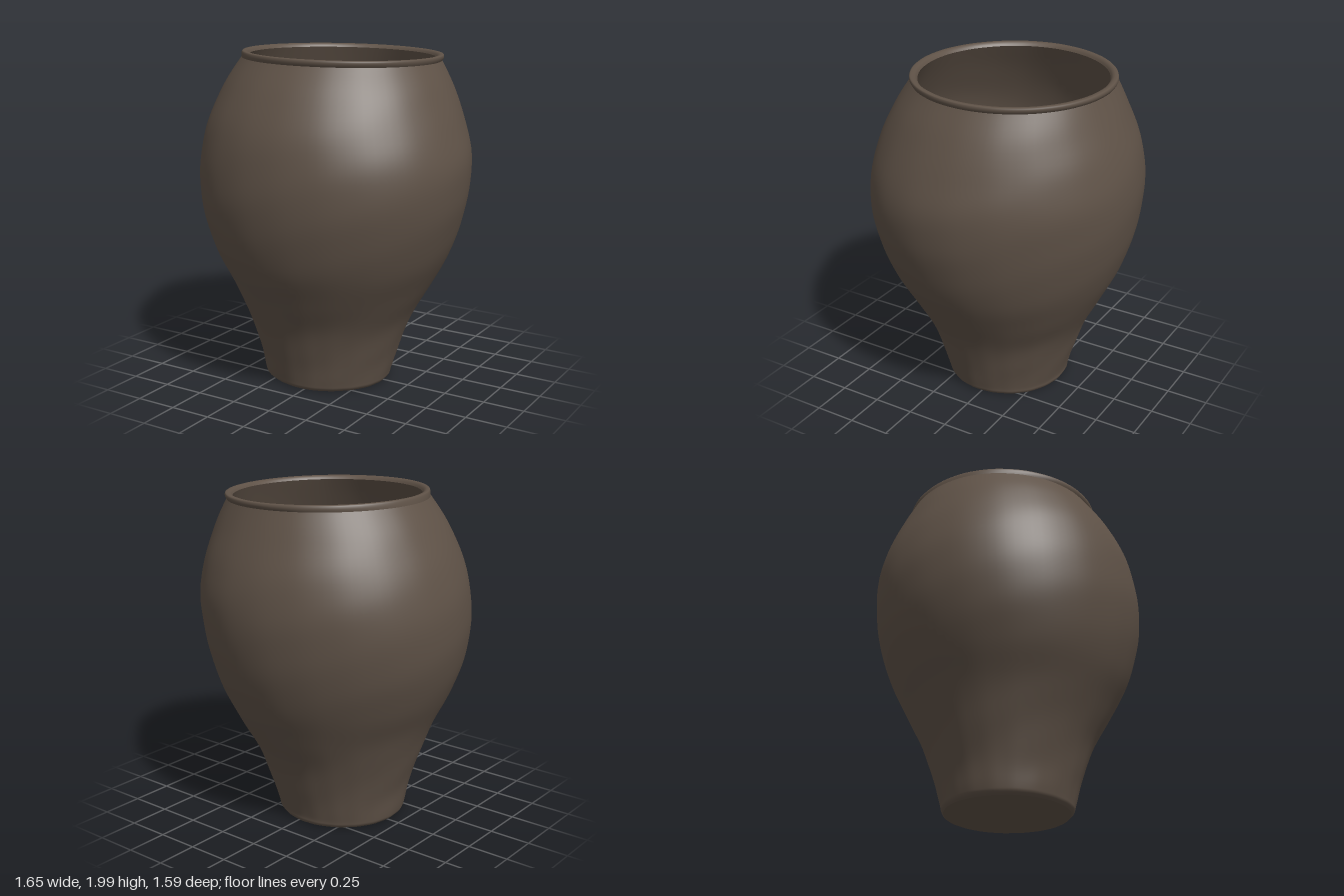
import * as THREE from 'three';

const SEGMENTS = 96;

// Cross-section rows: [y, xMin, xMax, zMin, zMax]
const BASE = [
  [0.014, -0.06, -0.02, 0.0, 0.04],
  [0.012, -0.25, 0.18, -0.19, 0.22],
  [0.004, -0.415, 0.332, -0.34, 0.38],
];
const WALL = [
  [0.004, -0.415, 0.332, -0.34, 0.38],
  [0.022, -0.434, 0.347, -0.35, 0.398],
  [0.06, -0.445, 0.358, -0.357, 0.408],
  [0.2, -0.473, 0.4, -0.4, 0.443],
  [0.4, -0.54, 0.473, -0.47, 0.51],
  [0.6, -0.615, 0.585, -0.575, 0.61],
  [0.8, -0.715, 0.695, -0.675, 0.71],
  [1.0, -0.79, 0.77, -0.745, 0.77],
  [1.2, -0.825, 0.815, -0.785, 0.797],
  [1.4, -0.82, 0.82, -0.795, 0.787],
  [1.6, -0.77, 0.765, -0.76, 0.742],
  [1.8, -0.68, 0.685, -0.685, 0.645],
  [1.95, -0.588, 0.602, -0.622, 0.542],
];
const RIM = [
  [1.95, -0.588, 0.602, -0.622, 0.542],
  [1.966, -0.585, 0.61, -0.631, 0.55],
  [1.982, -0.58, 0.61, -0.629, 0.549],
  [1.987, -0.572, 0.602, -0.62, 0.54],
  [1.984, -0.552, 0.58, -0.597, 0.517],
  [1.965, -0.539, 0.567, -0.583, 0.502],
];
const INTERIOR = [
  [1.965, -0.539, 0.567, -0.583, 0.502],
  [1.8, -0.628, 0.633, -0.633, 0.593],
  [1.6, -0.715, 0.71, -0.705, 0.687],
  [1.4, -0.765, 0.765, -0.74, 0.732],
  [1.2, -0.768, 0.758, -0.728, 0.74],
  [1.0, -0.73, 0.71, -0.685, 0.71],
  [0.8, -0.653, 0.633, -0.613, 0.648],
  [0.6, -0.555, 0.525, -0.515, 0.55],
  [0.4, -0.47, 0.41, -0.4, 0.445],
  [0.26, -0.39, 0.325, -0.31, 0.36],
  [0.2, -0.28, 0.22, -0.2, 0.26],
  [0.185, -0.04, -0.02, 0.01, 0.03],
];

// Smooth extra rows between the given ones
function refine(rows, steps) {
  const out = [];
  const at = (i) => rows[Math.max(0, Math.min(rows.length - 1, i))];
  for (let i = 0; i < rows.length - 1; i++) {
    for (let s = 0; s < steps; s++) {
      const t = s / steps;
      out.push(rows[i].map((p1, k) => {
        const p0 = at(i - 1)[k], p2 = at(i + 1)[k], p3 = at(i + 2)[k];
        return p1 + 0.5 * t * (p2 - p0 + t * (2 * p0 - 5 * p1 + 4 * p2 - p3 + t * (3 * (p1 - p2) + p3 - p0)));
      }));
    }
  }
  out.push(rows[rows.length - 1]);
  return out;
}

// Hand-shaped unevenness: a lopsided belly, gentle waves, a rougher foot
function unevenness(a, y) {
  const belly = Math.exp(-Math.pow((y - 1.25) / 0.45, 2));
  const lopsided = 0.034 * belly * Math.sin(2 * a) * Math.max(0, Math.cos(a));
  const broad = Math.sin(3 * a + 2.1 * y) + 0.7 * Math.sin(5 * a - 4.3 * y + 1);
  const fine = Math.sin(13 * a + 11 * y) * Math.sin(7 * a - 13 * y + 2);
  return 1 + lopsided + 0.002 * broad + (0.0015 + 0.004 * Math.max(0, 1 - y / 0.7)) * fine;
}

// Skin closed rings; the mouth leans slightly towards one side
function loft(rows, closeStart, closeEnd) {
  const pos = [], index = [];
  const put = (x, y, z) => {
    const lean = Math.pow(y / 2, 8);
    pos.push(x, y + lean * (0.013 * z - 0.016 * x), z);
  };
  for (const [y, x0, x1, z0, z1] of rows) {
    for (let i = 0; i < SEGMENTS; i++) {
      const a = (i / SEGMENTS) * Math.PI * 2, n = unevenness(a, y);
      put((x0 + x1) / 2 + Math.cos(a) * n * (x1 - x0) / 2, y, (z0 + z1) / 2 + Math.sin(a) * n * (z1 - z0) / 2);
    }
  }
  for (let r = 0; r < rows.length - 1; r++) {
    for (let i = 0; i < SEGMENTS; i++) {
      const j = (i + 1) % SEGMENTS, a = r * SEGMENTS, b = a + SEGMENTS;
      index.push(a + i, b + i, a + j, a + j, b + i, b + j);
    }
  }
  const cap = (row, first, flip) => {
    const c = pos.length / 3;
    put((row[1] + row[2]) / 2, row[0], (row[3] + row[4]) / 2);
    for (let i = 0; i < SEGMENTS; i++) {
      const p = first + i, q = first + (i + 1) % SEGMENTS;
      index.push(c, flip ? q : p, flip ? p : q);
    }
  };
  if (closeStart) cap(rows[0], 0, false);
  if (closeEnd) cap(rows[rows.length - 1], (rows.length - 1) * SEGMENTS, true);
  const g = new THREE.BufferGeometry();
  g.setAttribute('position', new THREE.Float32BufferAttribute(pos, 3));
  g.setIndex(index);
  g.computeVertexNormals();
  return g;
}

// Height of the inner floor below a point
function floorHeight(x, z) {
  const reach = ([, x0, x1, z0, z1]) =>
    Math.hypot((2 * x - x0 - x1) / (x1 - x0), (2 * z - z0 - z1) / (z1 - z0));
  for (let i = INTERIOR.length - 2; i > 4; i--) {
    const inner = reach(INTERIOR[i + 1]), outer = reach(INTERIOR[i]);
    if (outer <= 1) {
      const t = Math.max(0, inner - 1) / (Math.max(0, inner - 1) + 1 - outer);
      return INTERIOR[i + 1][0] + t * (INTERIOR[i][0] - INTERIOR[i + 1][0]);
    }
  }
  return INTERIOR[5][0];
}

// Thin rectangular patch that follows the curve of the inner floor
function patchGeometry() {
  const g = new THREE.BoxGeometry(0.63, 0.03, 0.25, 20, 1, 8);
  g.rotateY(-0.3).translate(-0.135, 0, 0.045);
  const p = g.attributes.position;
  for (let i = 0; i < p.count; i++) {
    p.setY(i, p.getY(i) + floorHeight(p.getX(i), p.getZ(i)) + 0.005);
  }
  g.computeVertexNormals();
  return g;
}

export function createModel() {
  const clay = new THREE.MeshStandardMaterial({ color: 0x5f5247 });
  clay.name = 'dark brown clay';
  const group = new THREE.Group();
  group.name = 'clayPot';
  const add = (name, geometry) => {
    const mesh = new THREE.Mesh(geometry, clay);
    mesh.name = name;
    group.add(mesh);
  };

  add('base', loft(BASE, true, false));
  add('outerWall', loft(refine(WALL, 5), false, false));
  add('rim', loft(refine(RIM, 2), false, false));
  add('interior', loft(refine(INTERIOR, 4), false, true));
  add('floorPatch', patchGeometry());
  return group;
}
